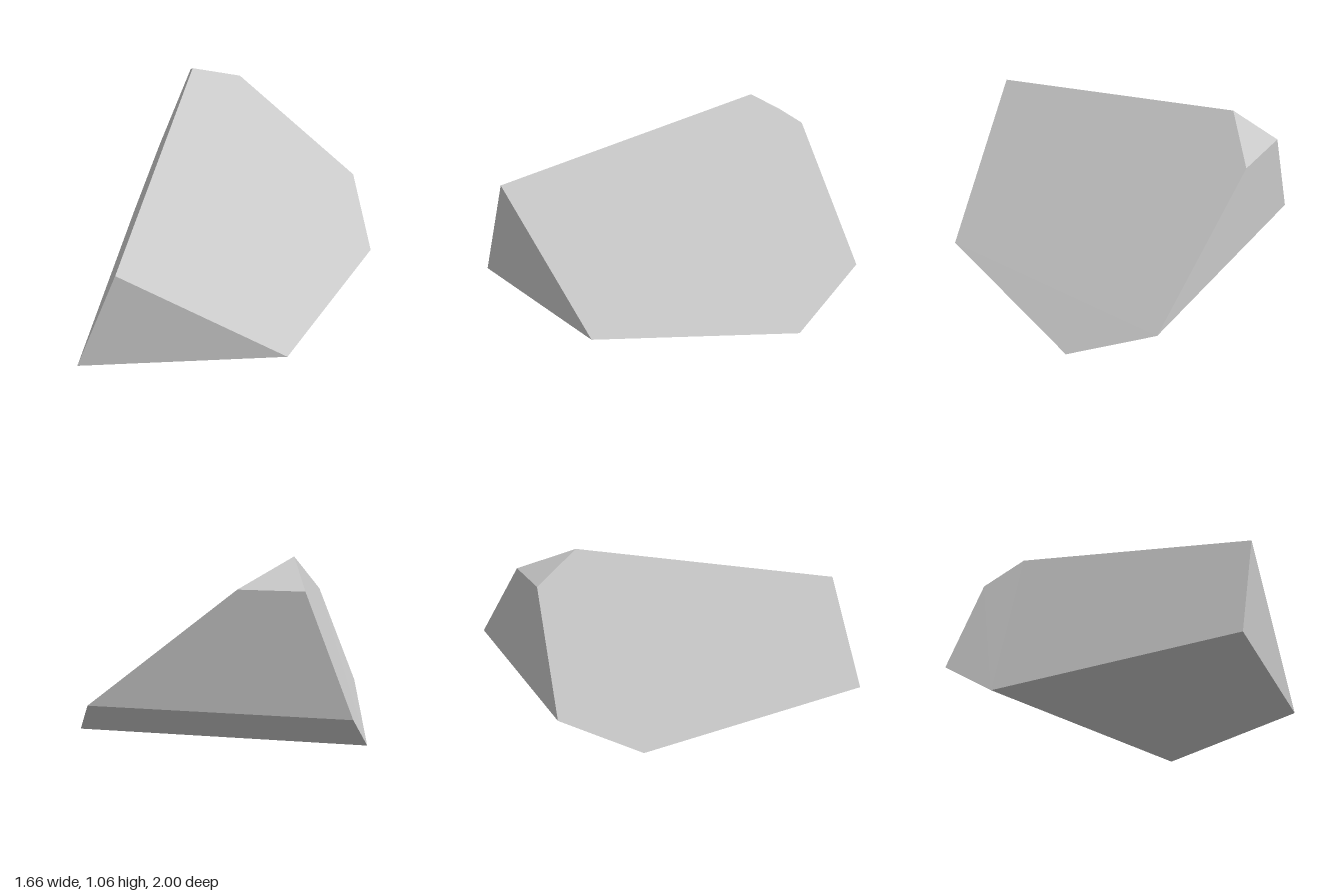
import * as THREE from 'three';

// Corner points of the faceted rock
const corners = [
  // ground outline
  [-0.83, 0, -0.54], [0.83, 0, -0.54], [0.525, 0, 0.605], [-0.62, 0, 1],
  // flat back
  [-0.79, 0.27, -1], [0.615, 0.27, -1], [-0.195, 0.915, -1], [-0.54, 0.915, -1],
  // ridge: peak, then front end
  [-0.445, 1.06, -0.75], [-0.375, 0.65, 0.92],
].map((p) => new THREE.Vector3(...p));

// Flat facets, each listed counter-clockwise from outside
const facets = [
  [0, 1, 2, 3], // underside
  [3, 2, 9], // front
  [2, 1, 5, 6, 8, 9], // left slope
  [0, 3, 9, 8, 7, 4], // right slope
  [5, 4, 7, 6], // back
  [1, 0, 4, 5], // back undercut
  [6, 7, 8], // back bevel below the peak
];

// Fans each facet into triangles with unshared corners, for crisp edges
function facetedGeometry() {
  const points = [];
  for (const f of facets) {
    for (let i = 1; i < f.length - 1; i++) {
      points.push(corners[f[0]], corners[f[i]], corners[f[i + 1]]);
    }
  }
  const geometry = new THREE.BufferGeometry().setFromPoints(points);
  geometry.computeVertexNormals();
  return geometry;
}

export function createModel() {
  const stone = new THREE.MeshStandardMaterial({ color: 0xc8c8c8 });
  stone.name = 'stone grey';
  stone.flatShading = true;

  const rock = new THREE.Mesh(facetedGeometry(), stone);
  rock.name = 'rock';

  const model = new THREE.Group();
  model.name = 'facetedRock';
  model.add(rock);
  return model;
}
